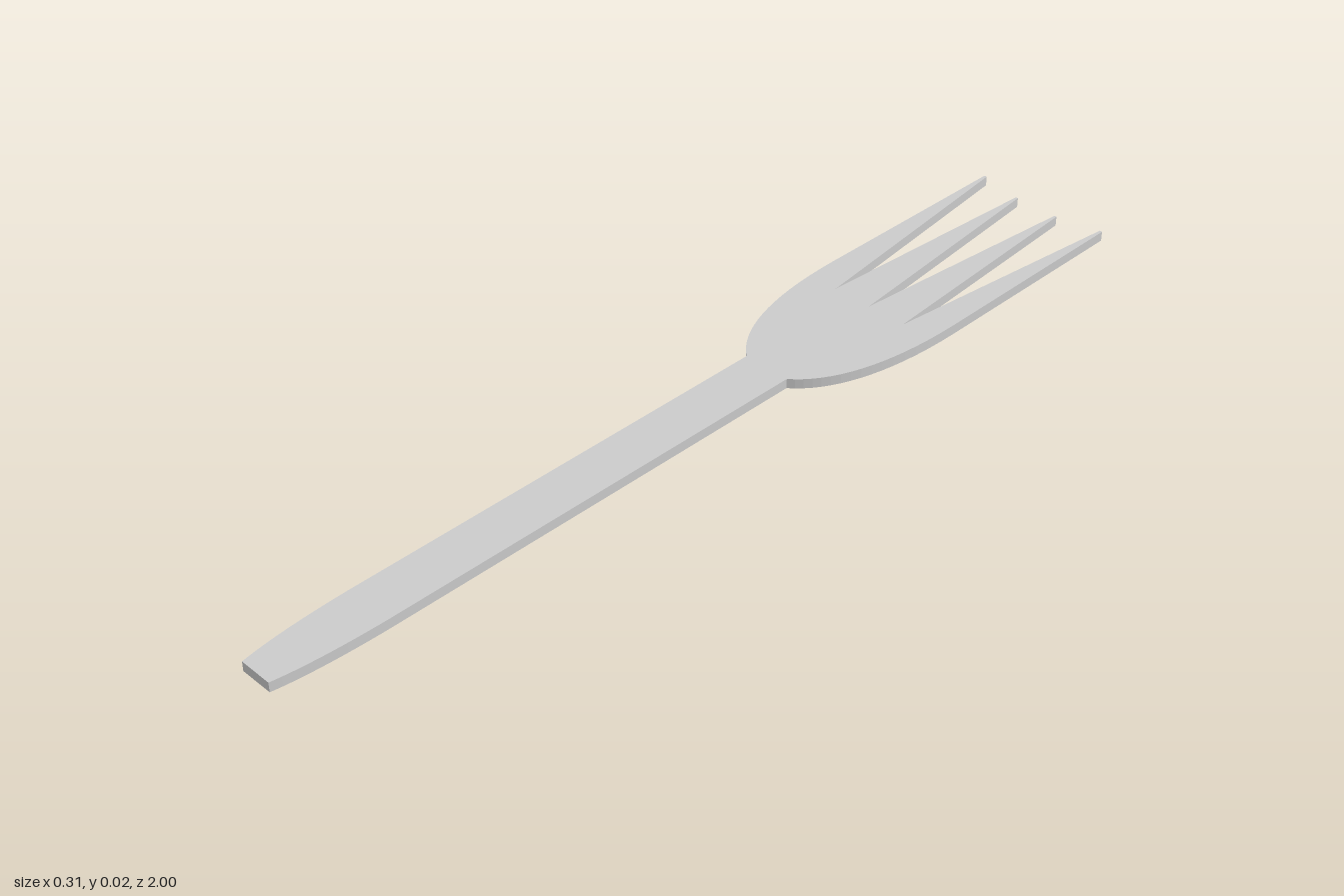
import * as THREE from 'three';

const THICKNESS = 0.021;

// Flat outline drawn with +y towards the tines
function forkOutline() {
  const s = new THREE.Shape();
  // right edge: handle end, handle, shoulder, outer tine
  s.moveTo(-0.035, -1);
  s.lineTo(0.035, -1);
  s.bezierCurveTo(0.046, -0.94, 0.051, -0.86, 0.052, -0.77);
  s.lineTo(0.052, 0.18);
  s.bezierCurveTo(0.115, 0.23, 0.157, 0.34, 0.157, 0.53);
  s.lineTo(0.154, 1);

  // tines and the V-shaped gaps between them
  s.lineTo(0.148, 1);
  s.lineTo(0.087, 0.465);
  s.lineTo(0.053, 0.98);
  s.lineTo(0.048, 0.98);
  s.lineTo(0, 0.465);
  s.lineTo(-0.048, 0.98);
  s.lineTo(-0.053, 0.98);
  s.lineTo(-0.087, 0.465);
  s.lineTo(-0.148, 1);
  s.lineTo(-0.154, 1);

  // left edge, back to the handle end
  s.lineTo(-0.157, 0.53);
  s.bezierCurveTo(-0.157, 0.34, -0.115, 0.23, -0.052, 0.18);
  s.lineTo(-0.052, -0.77);
  s.bezierCurveTo(-0.051, -0.86, -0.046, -0.94, -0.035, -1);
  return s;
}

export function createModel() {
  const group = new THREE.Group();
  group.name = 'fork';

  // Plate lying flat, tines pointing to -z
  const geometry = new THREE.ExtrudeGeometry(forkOutline(), {
    depth: THICKNESS, bevelEnabled: false, curveSegments: 16,
  });
  geometry.rotateX(-Math.PI / 2);

  const body = new THREE.Mesh(geometry, new THREE.MeshStandardMaterial({ color: 0xcccccc }));
  body.name = 'forkBody';
  group.add(body);
  return group;
}
